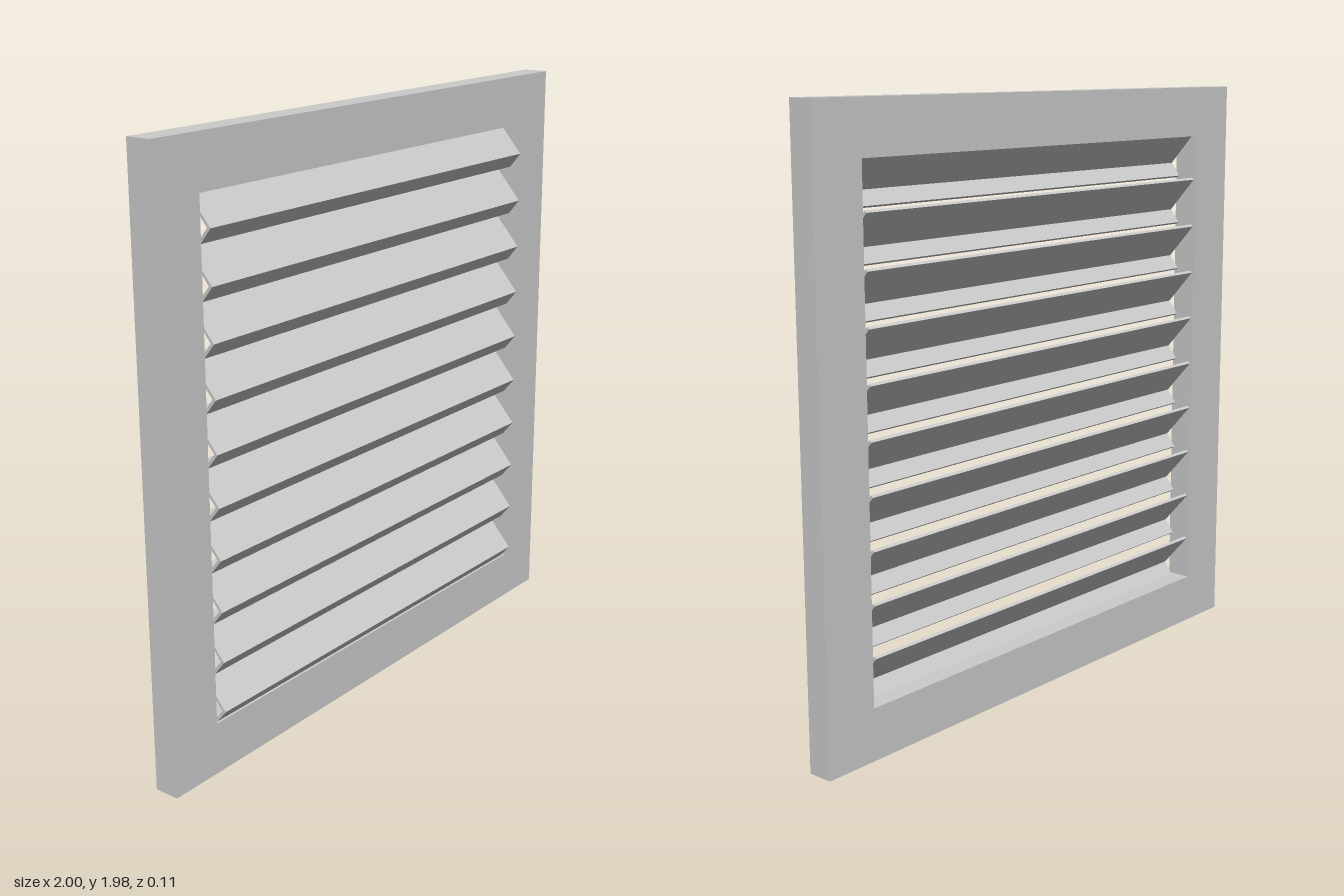
import * as THREE from 'three';

const material = new THREE.MeshStandardMaterial({ color: 0xcccccc, flatShading: true, side: THREE.DoubleSide });

const polygon = (points) => points.map(([x, y]) => new THREE.Vector2(x, y));

export function createModel() {
  const group = new THREE.Group();

  // flat frame with a rectangular opening
  const outline = new THREE.Shape(polygon([[-1, 0], [1, 0], [1, 1.98], [-1, 1.98]]));
  outline.holes.push(new THREE.Path(polygon([[-0.815, 0.17], [-0.815, 1.81], [0.815, 1.81], [0.815, 0.17]])));
  const frameGeometry = new THREE.ExtrudeGeometry(outline, { depth: 0.085, bevelEnabled: false });
  frameGeometry.translate(0, 0, -0.055);
  const frame = new THREE.Mesh(frameGeometry, material);
  frame.name = 'frame';
  group.add(frame);

  // bent sheet slat: sloping plate with a folded-back lip, section in (z, y)
  const section = new THREE.Shape(polygon([
    [0.055, 0], [-0.048, 0.118], [-0.055, 0.111],
    [0.042, 0], [0.007, -0.044], [0.015, -0.05],
  ]));
  const slatGeometry = new THREE.ExtrudeGeometry(section, { depth: 1.604, bevelEnabled: false });
  slatGeometry.translate(0, 0, -0.802);
  slatGeometry.rotateY(-Math.PI / 2);

  // ten evenly spaced slats
  const slats = new THREE.Group();
  slats.name = 'slats';
  for (let i = 0; i < 10; i++) {
    const slat = new THREE.Mesh(slatGeometry, material);
    slat.name = `slat${i + 1}`;
    slat.position.y = 0.212 + i * 0.1667;
    slats.add(slat);
  }
  group.add(slats);

  return group;
}
